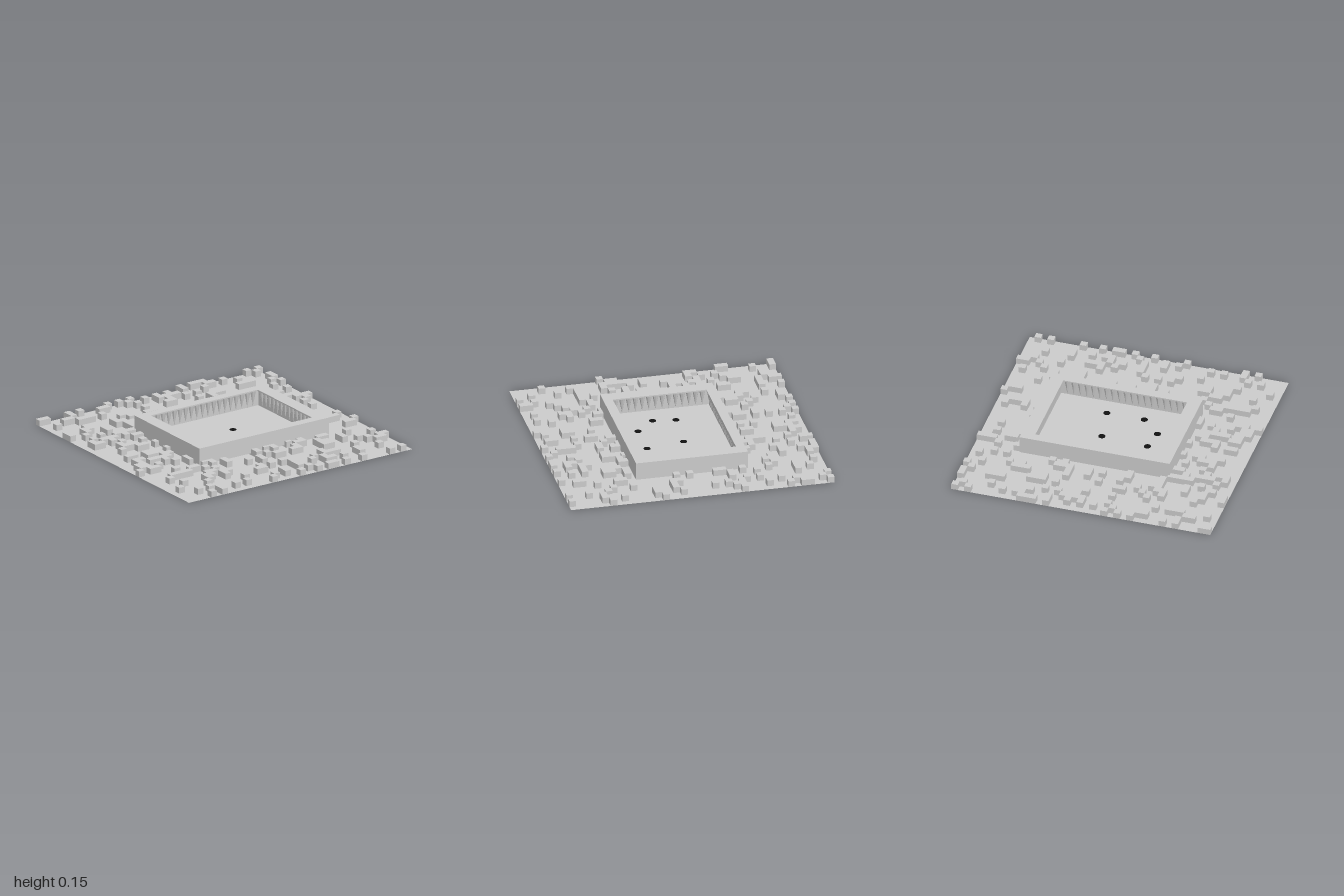
import * as THREE from 'three';
import { mergeGeometries } from 'three/addons/utils/BufferGeometryUtils.js';

const CELL = 0.05, COUNT = 40, BLOCK_HEIGHT = 0.046;
const BASE = 0.012, TOP = 0.147;
const FRAME = { x0: -0.512, x1: 0.648, z0: -0.425, z1: 0.425 };
const PIT = { x0: -0.41, x1: 0.545, z0: -0.357, z1: 0.353 };
const grey = new THREE.MeshStandardMaterial({ color: 0xcccccc, flatShading: true });
const greyOpen = new THREE.MeshStandardMaterial({ color: 0xcccccc, side: THREE.DoubleSide });
const black = new THREE.MeshStandardMaterial({ color: 0x111111 });

function named(name, geometry, material = grey) {
  const mesh = new THREE.Mesh(geometry, material);
  mesh.name = name;
  return mesh;
}

// Small seeded generator for scattering the blocks
function seeded(seed) {
  return () => (seed = (seed * 16807) % 2147483647) / 2147483647;
}

// Raised block: a box without its underside
function openBlock(x, z) {
  const g = new THREE.BoxGeometry(CELL, BLOCK_HEIGHT, CELL);
  g.setIndex(Array.from(g.index.array).filter((_, i) => i < 18 || i >= 24));
  return g.translate(x, BLOCK_HEIGHT / 2, z);
}

// Rectangular ring lying flat between two heights
function ring(outer, inner, y0, y1) {
  const trace = (path, r) => path.moveTo(r.x0, -r.z1).lineTo(r.x1, -r.z1)
    .lineTo(r.x1, -r.z0).lineTo(r.x0, -r.z0).closePath();
  const shape = trace(new THREE.Shape(), outer);
  shape.holes.push(trace(new THREE.Path(), inner));
  return new THREE.ExtrudeGeometry(shape, { depth: y1 - y0, bevelEnabled: false })
    .rotateX(-Math.PI / 2).translate(0, y0, 0);
}

// Flat tiled ground with blocks scattered outside the central frame
function makeGround() {
  const group = new THREE.Group();
  group.name = 'ground';
  const random = seeded(4711), tiles = [], blocks = [];
  const emptyColumns = [14, 17], emptyRows = [18, 19, 27];
  const fixed = new Set(['26,9', '29,30', '6,30', '9,30', '6,9', '33,30', '0,0', '38,39']);
  [39, 37, 29, 28, 27, 25, 16, 14, 12, 7, 5, 1].forEach((i) => fixed.add(`${i},0`));
  [3, 4, 6, 13, 25, 33].forEach((j) => fixed.add(`39,${j}`));
  for (let i = 0; i < COUNT; i++) {
    for (let j = 0; j < COUNT; j++) {
      const x = -1 + (i + 0.5) * CELL, z = -1 + (j + 0.5) * CELL;
      const covered = x > FRAME.x0 && x < FRAME.x1 && z > FRAME.z0 && z < FRAME.z1;
      const edge = i === 39 || j === 0;
      const corner = i === 0 && j === 39;
      const chance = random() < 0.25 && !edge && !corner
        && !emptyColumns.includes(i) && !emptyRows.includes(j);
      if (!covered && (chance || fixed.has(`${i},${j}`))) blocks.push(openBlock(x, z));
      else tiles.push(new THREE.PlaneGeometry(CELL, CELL).rotateX(-Math.PI / 2).translate(x, 0, z));
    }
  }
  group.add(named('groundTiles', mergeGeometries(tiles), greyOpen));
  group.add(named('raisedBlocks', mergeGeometries(blocks), greyOpen));
  return group;
}

// Pointed teeth half sunk into the four inner walls, under the rim
function makeTeeth(recess) {
  const teeth = [], height = TOP - BASE - 0.015;
  const add = (x, z) => teeth.push(new THREE.ConeGeometry(recess, height, 8)
    .rotateX(Math.PI).translate(x, TOP - 0.01 - height / 2, z));
  const run = (a, b, place) => {
    const n = Math.round((b - a) / CELL);
    for (let k = 0; k < n; k++) place(a + ((k + 0.5) * (b - a)) / n);
  };
  run(PIT.x0, PIT.x1, (x) => { add(x, PIT.z0 - recess); add(x, PIT.z1 + recess); });
  run(PIT.z0, PIT.z1, (z) => { add(PIT.x0 - recess, z); add(PIT.x1 + recess, z); });
  return mergeGeometries(teeth);
}

export function createModel() {
  const model = new THREE.Group();
  model.add(makeGround());

  // Raised frame: wall, overhanging rim and the teeth below it
  const recess = 0.024;
  const back = { x0: PIT.x0 - recess, x1: PIT.x1 + recess, z0: PIT.z0 - recess, z1: PIT.z1 + recess };
  const frame = new THREE.Group();
  frame.name = 'frame';
  frame.add(named('outerWall', ring(FRAME, back, BASE, TOP - 0.01)));
  frame.add(named('rim', ring(FRAME, PIT, TOP - 0.01, TOP)));
  frame.add(named('innerTeeth', makeTeeth(recess)));
  model.add(frame);

  // Smooth floor inside the frame
  const floor = new THREE.PlaneGeometry(back.x1 - back.x0, back.z1 - back.z0).rotateX(-Math.PI / 2)
    .translate((back.x0 + back.x1) / 2, BASE + 0.001, (back.z0 + back.z1) / 2);
  model.add(named('floor', floor, greyOpen));

  // Black discs set into the floor
  const spots = [[-0.237, -0.085], [0.122, -0.06], [-0.263, 0.086], [-0.118, 0.23], [0.172, 0.23]];
  spots.forEach(([x, z]) => {
    const disc = named('disc', new THREE.CylinderGeometry(0.026, 0.026, 0.004, 32), black);
    disc.position.set(x, BASE + 0.001, z);
    model.add(disc);
  });
  return model;
}
